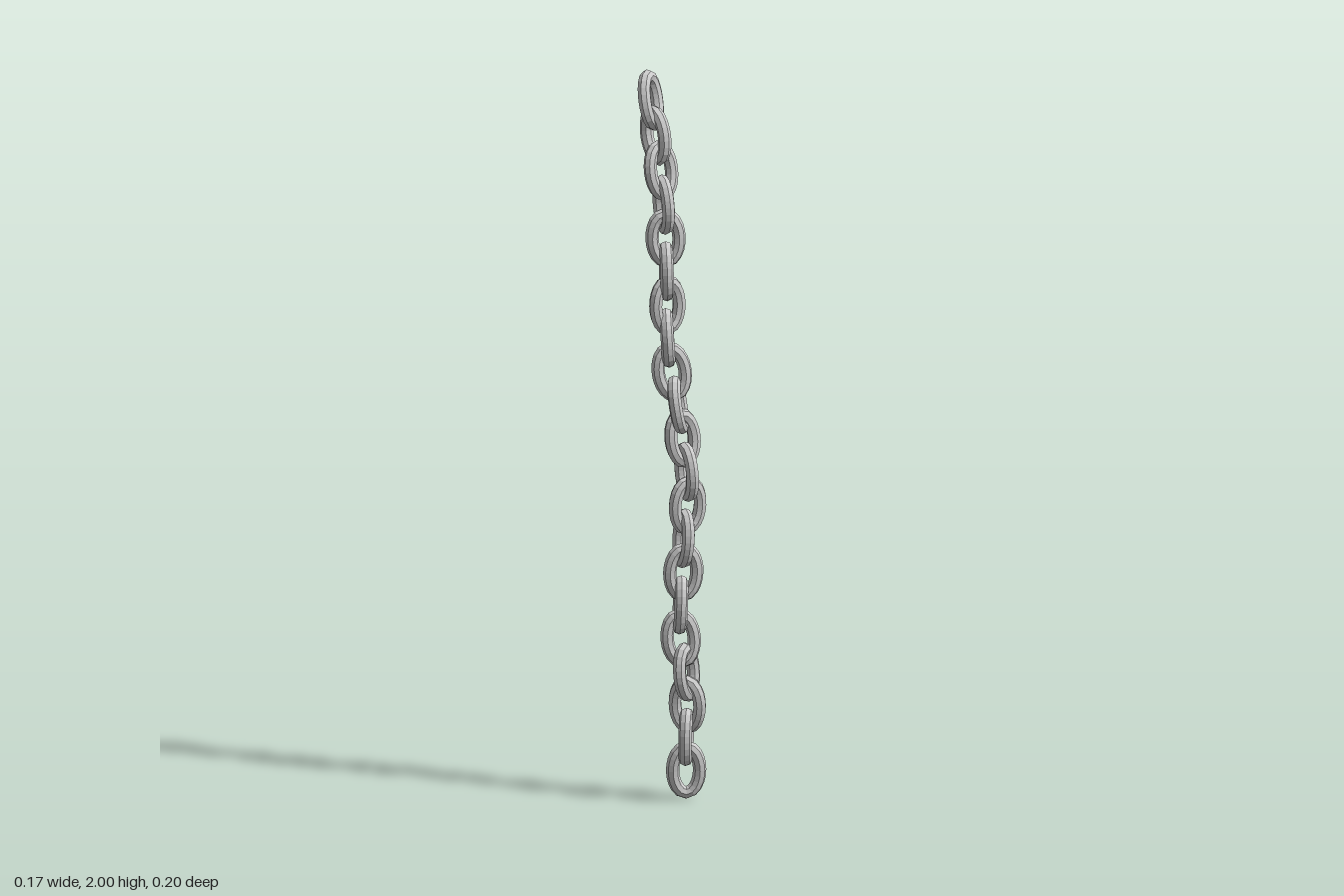
import * as THREE from 'three';

// Closed oval centre line of one link
class OvalCurve extends THREE.Curve {
  getPoint(t, target = new THREE.Vector3()) {
    const a = t * Math.PI * 2;
    return target.set(0.036 * Math.cos(a), 0.0645 * Math.sin(a), 0);
  }
}

// Links from top to bottom: x, z of the centre and turn (degrees from +x towards +z)
const LINKS = [
  [-0.053, 0.04, 70], [-0.032, 0.043, 5], [-0.01, 0.045, 95], [0, 0.045, 25],
  [0, 0.038, 130], [0, 0.035, 42], [0.002, 0.033, 105], [-0.003, 0.028, 45],
  [0.005, 0.02, 125], [0.014, 0.005, 55], [0.018, -0.008, 103], [0.027, -0.014, 20],
  [0.027, -0.018, 112], [0.015, -0.015, 25], [0.015, -0.014, 130], [0.004, -0.014, 42],
  [0.001, -0.018, 130], [0.014, -0.027, 75], [0.004, -0.04, 160], [-0.006, -0.046, 50],
  [-0.014, -0.054, 130],
];
const TOP = 1.918, BOTTOM = 0.082;

export function createModel() {
  const chain = new THREE.Group();
  chain.name = 'chain';
  const geometry = new THREE.TubeGeometry(new OvalCurve(), 20, 0.0178, 8, true);
  const material = new THREE.MeshStandardMaterial({ color: 0xcccccc, flatShading: true });
  const last = LINKS.length - 1;
  const centres = LINKS.map(([x, z], i) =>
    new THREE.Vector3(x, THREE.MathUtils.lerp(TOP, BOTTOM, i / last), z));

  LINKS.forEach(([, , turn], i) => {
    // The long axis follows the run of the chain, the short axis follows the turn
    const up = centres[Math.max(i - 1, 0)].clone().sub(centres[Math.min(i + 1, last)]).normalize();
    const a = THREE.MathUtils.degToRad(turn);
    const across = new THREE.Vector3(Math.cos(a), 0, Math.sin(a));
    const normal = across.cross(up).normalize();
    const side = new THREE.Vector3().crossVectors(up, normal);

    const link = new THREE.Mesh(geometry, material);
    link.name = `link${i + 1}`;
    link.quaternion.setFromRotationMatrix(new THREE.Matrix4().makeBasis(side, up, normal));
    link.position.copy(centres[i]);
    chain.add(link);
  });
  return chain;
}
